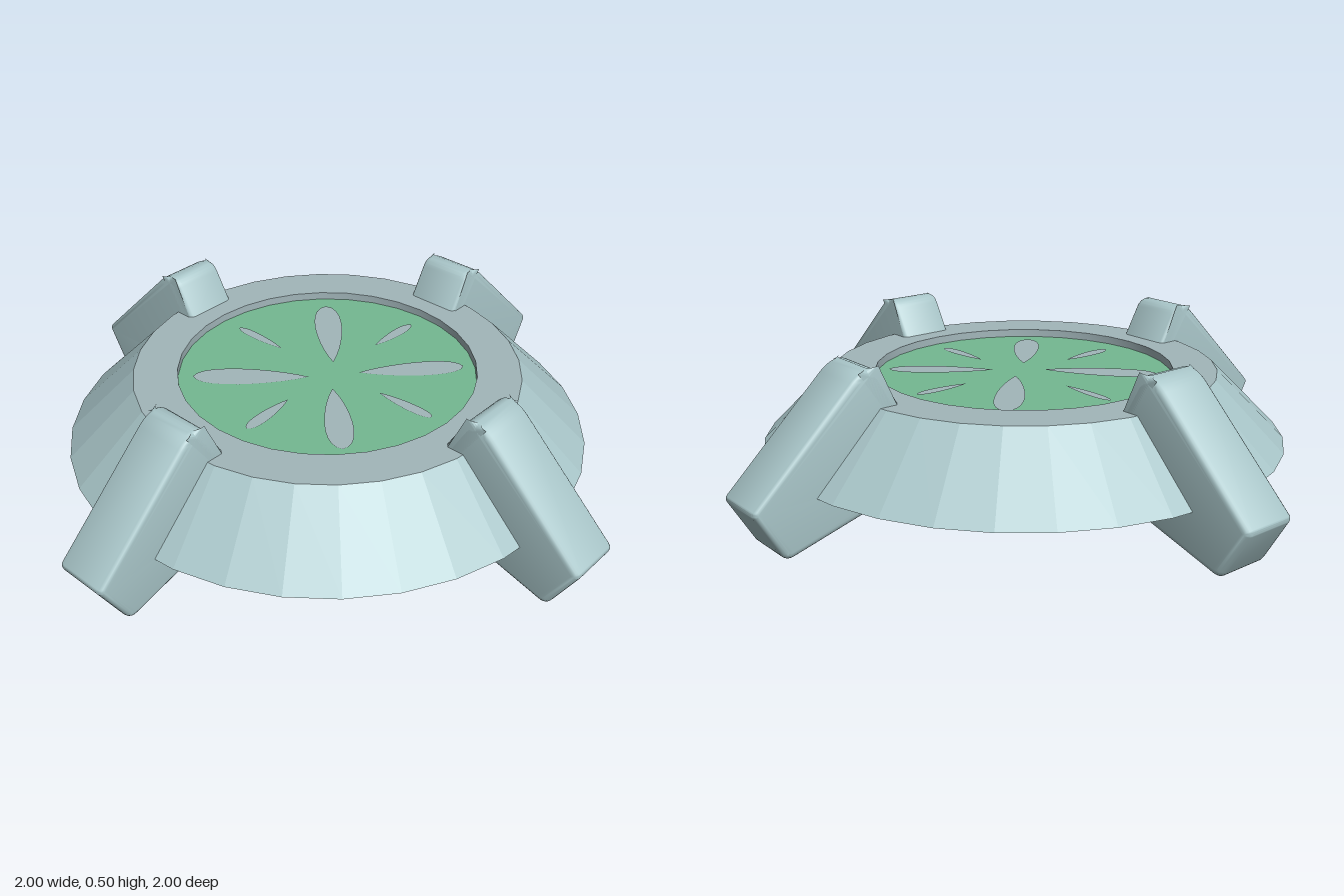
import * as THREE from 'three';
import { toCreasedNormals } from 'three/addons/utils/BufferGeometryUtils.js';

const material = (name, color) => {
  const m = new THREE.MeshStandardMaterial({ color });
  m.name = name;
  return m;
};

// Closed shape with its corners rounded; each point is [x, y, radius]
function roundedShape(points) {
  const shape = new THREE.Shape();
  const n = points.length;
  points.forEach(([x, y, r], i) => {
    const p = new THREE.Vector2(x, y);
    const toward = ([qx, qy]) => new THREE.Vector2(qx, qy).sub(p).setLength(r).add(p);
    const a = toward(points[(i + n - 1) % n]);
    const b = toward(points[(i + 1) % n]);
    if (i === 0) shape.moveTo(a.x, a.y);
    else shape.lineTo(a.x, a.y);
    shape.quadraticCurveTo(x, y, b.x, b.y);
  });
  shape.closePath();
  return shape;
}

// Turned part with flat facets
function turned(profile, segments, crease) {
  const g = new THREE.LatheGeometry(profile.map(([r, y]) => new THREE.Vector2(r, y)), segments);
  return toCreasedNormals(g, crease);
}

// Teardrop pointing along +x, lying flat
function petalGeometry(length, width) {
  const s = new THREE.Shape();
  s.moveTo(0, 0);
  s.bezierCurveTo(length * 0.3, -width * 0.55, length * 0.95, -width * 0.85, length, 0);
  s.bezierCurveTo(length * 0.95, width * 0.85, length * 0.3, width * 0.55, 0, 0);
  return new THREE.ShapeGeometry(s, 10).rotateX(-Math.PI / 2);
}

export function createModel() {
  const group = new THREE.Group();
  const shell = material('pale teal shell', 0xa9c6c9);
  const trim = material('grey trim', 0xa2b6ba);
  const green = material('green inlay', 0x74b891);

  const add = (name, geometry, mat) => {
    const mesh = new THREE.Mesh(geometry, mat);
    mesh.name = name;
    group.add(mesh);
    return mesh;
  };

  // Faceted sloping body with a closed underside
  add('body', turned([[0, 0.16], [0.82, 0.16], [0.605, 0.375]], 32, 0.02), shell);

  // Flat rim and the wall of the shallow recess
  add('rim', turned([[0.605, 0.375], [0.468, 0.375], [0.468, 0.345]], 32, 0.4), trim);

  // Green floor of the recess
  const inlay = add('inlay', new THREE.CircleGeometry(0.47, 64).rotateX(-Math.PI / 2), green);
  inlay.position.y = 0.35;

  // Petal markings: inner x, z, outer x, z, width
  [
    [0, -0.2, 0, -0.395, 0.03],
    [0.05, -0.02, 0.3, -0.28, 0.085],
    [0.22, 0.012, 0.4, 0.015, 0.035],
    [0.06, 0.08, 0.31, 0.3, 0.075],
    [0.015, 0.2, 0.02, 0.4, 0.035],
    [-0.065, 0.08, -0.275, 0.31, 0.08],
    [-0.2, 0.02, -0.39, 0.035, 0.04],
    [-0.065, -0.02, -0.305, -0.29, 0.085],
  ].forEach(([x0, z0, x1, z1, width]) => {
    const dx = x1 - x0;
    const dz = z1 - z0;
    const petal = add('petal', petalGeometry(Math.hypot(dx, dz), width), trim);
    petal.position.set(x0, 0.353, z0);
    petal.rotation.y = Math.atan2(-dz, dx);
  });

  // Four clamp legs with softened edges
  const profile = roundedShape([
    [1.003, 0.158, 0.015],
    [0.91, -0.002, 0.025],
    [0.455, 0.128, 0.025],
    [0.425, 0.17, 0.01],
    [0.525, 0.365, 0.01],
    [0.602, 0.498, 0.035],
    [0.66, 0.487, 0.035],
  ]);
  const bevel = 0.02;
  const width = 0.184;
  const legGeometry = toCreasedNormals(
    new THREE.ExtrudeGeometry(profile, {
      depth: width - 2 * bevel,
      bevelThickness: bevel,
      bevelSize: bevel,
      bevelOffset: -bevel,
      bevelSegments: 4,
      curveSegments: 5,
    }).translate(0, 0, bevel - width / 2),
    0.6,
  );
  for (let i = 0; i < 4; i++) {
    add('clampLeg', legGeometry, shell).rotation.y = (i * Math.PI) / 2;
  }

  return group;
}
